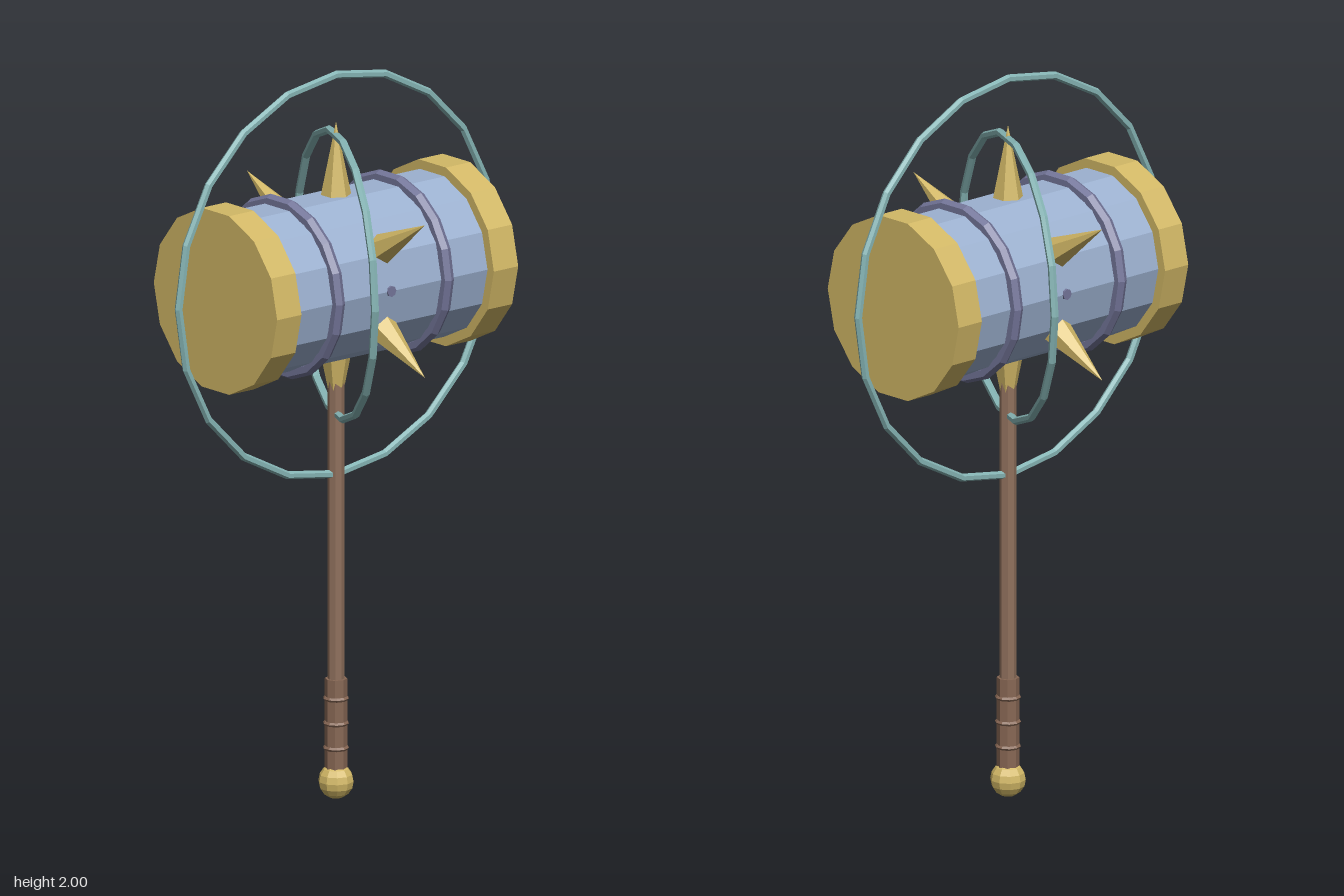
import * as THREE from 'three';

const mat = (name, color) => {
  const m = new THREE.MeshStandardMaterial({ color, flatShading: true });
  m.name = name;
  return m;
};

export function createModel() {
  const gold = mat('gold', 0xd2b866);
  const steel = mat('blue steel', 0x9cb1d0);
  const iron = mat('dark iron', 0x74769a);
  const teal = mat('pale teal', 0x86b5b5);
  const wood = mat('wood', 0x8f705c);
  const leather = mat('leather', 0x876754);

  const model = new THREE.Group();
  model.name = 'hammer';
  const add = (parent, name, geometry, material, x = 0, y = 0, z = 0) => {
    const mesh = new THREE.Mesh(geometry, material);
    mesh.name = name;
    mesh.position.set(x, y, z);
    parent.add(mesh);
    return mesh;
  };

  // Handle, grip and pommel
  add(model, 'handle', new THREE.CylinderGeometry(0.023, 0.023, 0.94, 8), wood, 0, 0.77, 0);
  add(model, 'grip', new THREE.CylinderGeometry(0.03, 0.03, 0.25, 8), leather, 0, 0.205, 0);
  for (const y of [0.14, 0.208, 0.276]) {
    const ridge = add(model, 'gripRidge', new THREE.TorusGeometry(0.029, 0.006, 5, 10), leather, 0, y, 0);
    ridge.rotation.x = Math.PI / 2;
  }
  add(model, 'pommel', new THREE.SphereGeometry(0.048, 10, 8), gold, 0, 0.048, 0);

  // Head: a drum lying along z
  const head = new THREE.Group();
  head.name = 'head';
  head.position.y = 1.44;
  model.add(head);
  const drum = (radius, length) =>
    new THREE.CylinderGeometry(radius, radius, length, 14, 1, false, Math.PI / 2).rotateX(Math.PI / 2);
  add(head, 'drum', drum(0.226, 0.7), steel);
  for (const side of [-1, 1]) {
    add(head, 'endCap', drum(0.252, 0.085), gold, 0, 0, side * 0.378);
    add(head, 'band', new THREE.TorusGeometry(0.232, 0.018, 6, 18), iron, 0, 0, side * 0.19);
  }
  // Pin through the drum, just showing on both sides
  add(head, 'crossPin', new THREE.CylinderGeometry(0.015, 0.015, 0.458, 8).rotateZ(Math.PI / 2), iron);

  // Six spikes around the middle
  for (let i = 0; i < 6; i++) {
    const spike = new THREE.ConeGeometry(0.042, 0.205, 6, 1, false, Math.PI / 2);
    spike.translate(0, 0.3175, 0).rotateZ((i * Math.PI) / 3);
    add(head, 'spike', spike, gold);
  }

  // Floating rings
  const outer = add(head, 'outerRing', new THREE.TorusGeometry(0.549, 0.011, 6, 20), teal);
  outer.rotation.y = Math.PI / 2;
  const inner = add(head, 'innerRing', new THREE.TorusGeometry(0.387, 0.011, 6, 18), teal);
  inner.rotation.y = -25 * Math.PI / 180;

  return model;
}
